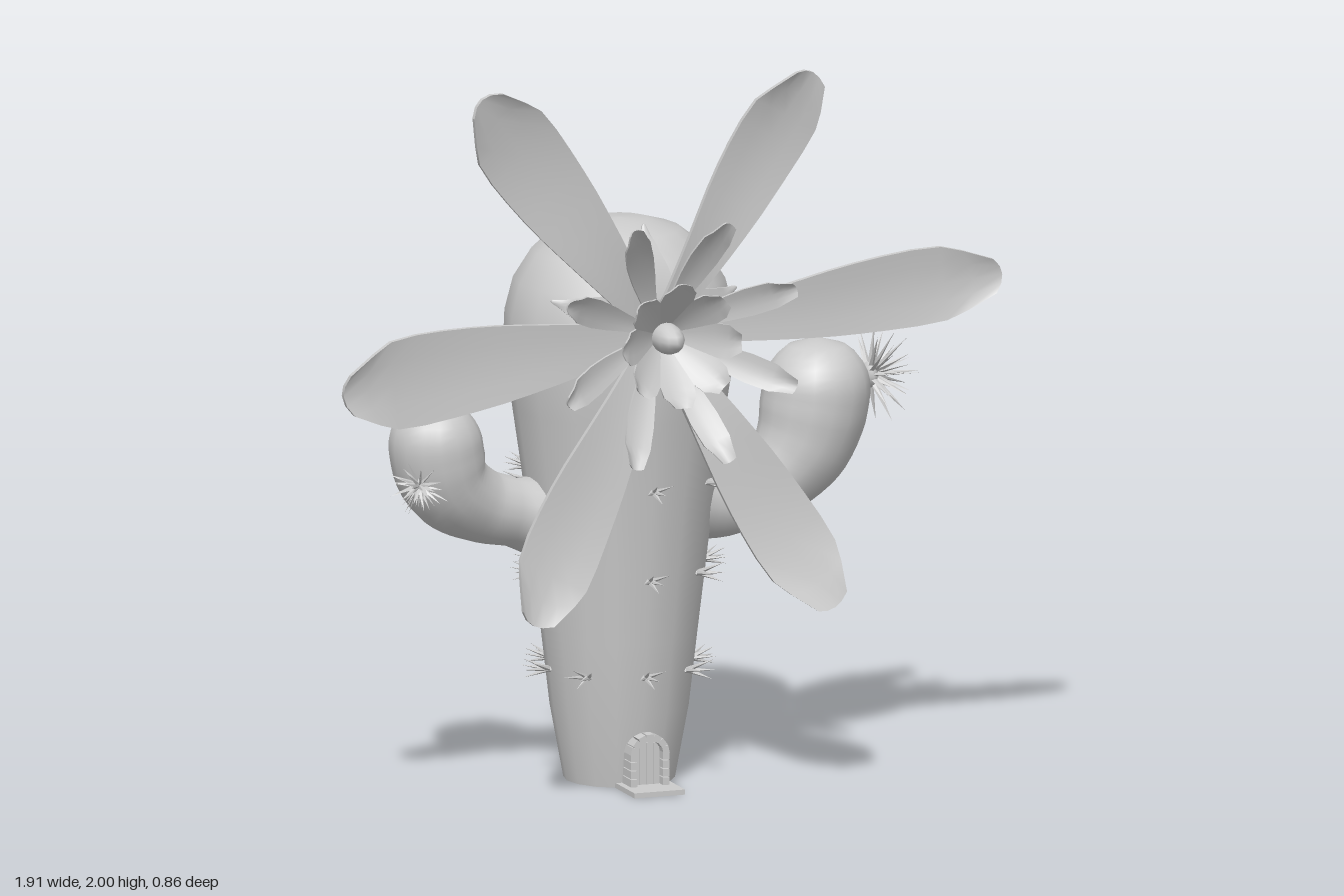
import * as THREE from 'three';
import { mergeVertices } from 'three/addons/utils/BufferGeometryUtils.js';

const material = new THREE.MeshStandardMaterial({ color: 0xcccccc, side: THREE.DoubleSide });
const flat = new THREE.MeshStandardMaterial({ color: 0xcccccc, flatShading: true });
const CX = -0.02, CZ = -0.075; // axis of the trunk

function add(parent, name, geometry, mat = material) {
  const mesh = new THREE.Mesh(geometry, mat);
  mesh.name = name;
  parent.add(mesh);
  return mesh;
}

// linear lookup in an evenly spaced list
function sample(list, t) {
  const f = t * (list.length - 1), i = Math.min(Math.floor(f), list.length - 2);
  return THREE.MathUtils.lerp(list[i], list[i + 1], f - i);
}

// swept limb whose radius varies and closes in a dome of the given fraction
function limb(points, radii, dome) {
  const curve = new THREE.CatmullRomCurve3(points.map(p => new THREE.Vector3(...p)));
  const n = 32, sides = 16, geo = new THREE.TubeGeometry(curve, n, 1, sides);
  const pos = geo.attributes.position, v = new THREE.Vector3();
  for (let i = 0; i <= n; i++) {
    const t = i / n, c = curve.getPointAt(t);
    const s = Math.max(0, (t - 1 + dome) / dome);
    const r = sample(radii, t) * Math.sqrt(Math.max(0, 1 - s * s));
    for (let j = 0; j <= sides; j++) {
      const k = i * (sides + 1) + j;
      v.fromBufferAttribute(pos, k).sub(c).multiplyScalar(r).add(c);
      pos.setXYZ(k, v.x, v.y, v.z);
    }
  }
  geo.deleteAttribute('uv');
  geo.deleteAttribute('normal');
  const merged = mergeVertices(geo);
  merged.computeVertexNormals();
  return merged;
}

// thin petal along +x, facing +z; rise(t) lifts it and cup curls its sides
function petal(length, halfWidths, thickness, rise, cup = 0) {
  const geo = new THREE.BoxGeometry(1, 2, thickness, 12, 4, 1);
  const pos = geo.attributes.position;
  for (let i = 0; i < pos.count; i++) {
    const t = pos.getX(i) + 0.5, y = pos.getY(i);
    const blunt = t > 0.9 ? 0.025 * length * y * y : 0;
    pos.setXYZ(i, t * length - blunt, y * sample(halfWidths, t), pos.getZ(i) + rise(t) + cup * y * y * t);
  }
  geo.computeVertexNormals();
  return geo;
}

function ring(parent, name, geo, count, start) {
  for (let i = 0; i < count; i++)
    add(parent, name, geo).rotation.z = start + i * Math.PI * 2 / count;
}

// big flower on the front of the trunk
function bigFlower() {
  const g = new THREE.Group();
  g.name = 'bigFlower';
  g.position.set(-0.03, 1.28, 0.24);
  const tips = [[0.37, 1.99, 0.36, 0.1], [-0.57, 1.98, 0.34, 0.115], [-0.96, 1.19, 0.32, 0.125],
    [0.955, 1.37, 0.245, 0.105], [-0.43, 0.53, 0.36, 0.11], [0.43, 0.52, 0.37, 0.105]];
  for (const [x, y, z, w] of tips) {
    const dx = x + 0.03, dy = y - 1.28;
    const widths = [0.25, 0.4, 0.56, 0.72, 0.86, 0.96, 1, 0.95, 0.45].map(k => k * w);
    const geo = petal(Math.hypot(dx, dy), widths, 0.016,
      t => (z - 0.24) * t ** 1.3 + 0.015 * Math.sin(t * Math.PI * 2), 0.012);
    add(g, 'outerPetal', geo).rotation.z = Math.atan2(dy, dx);
  }
  const small = [0.3, 0.4, 0.6, 0.85, 1, 0.95, 0.5];
  ring(g, 'middlePetal', petal(0.355, small.map(k => k * 0.04), 0.01, t => 0.02 + 0.17 * t ** 1.6, 0.01), 8, Math.PI / 8);
  ring(g, 'innerPetal', petal(0.17, small.map(k => k * 0.048), 0.01, t => 0.02 + 0.17 * t ** 0.9, 0.015), 8, 0);
  // sepals curl back around the trunk
  ring(g, 'sepal', petal(0.28, [0.05, 0.06, 0.065, 0.05, 0.025, 0.006], 0.006, t => -0.02 - 0.08 * t * t), 5, Math.PI / 2);
  const calyx = add(g, 'calyx', new THREE.CylinderGeometry(0.1, 0.06, 0.09, 7), flat);
  calyx.rotation.x = Math.PI / 2;
  calyx.position.z = -0.045;
  const pistil = add(g, 'pistil', new THREE.SphereGeometry(0.042, 12, 8));
  pistil.scale.z = 2;
  pistil.position.z = 0.075;
  return g;
}

// tuft of narrow petals opening along a direction
function tuft(name, position, direction, size) {
  const g = new THREE.Group();
  g.name = name;
  g.position.set(...position);
  g.quaternion.setFromUnitVectors(new THREE.Vector3(0, 1, 0), new THREE.Vector3(...direction).normalize());
  const blade = new THREE.ConeGeometry(0.011, 1, 4).translate(0, 0.5, 0).scale(1, 1, 0.5);
  [[5, 0.25, 1], [9, 0.65, 1], [12, 1.05, 1], [14, 1.45, 1.05]].forEach(([count, tilt, len], row) => {
    for (let i = 0; i < count; i++) {
      const b = add(g, 'tuftPetal', blade, flat);
      b.rotation.set(0, (i + row * 0.4) * Math.PI * 2 / count, tilt + 0.1 * Math.sin(i * 2.3), 'YXZ');
      b.scale.set(1, size * len * (1 + 0.15 * Math.sin(i * 3.7 + row)), 1);
    }
  });
  const heart = add(g, 'tuftHeart', new THREE.SphereGeometry(size * 0.3, 8, 6));
  heart.scale.y = 0.6;
  return g;
}

// small fan of spines, pointing along +z
function spineCluster() {
  const g = new THREE.Group();
  g.name = 'spineCluster';
  const cone = new THREE.ConeGeometry(0.009, 0.085, 5).translate(0, 0.035, 0).rotateX(Math.PI / 2);
  [[-0.55, 0.1], [-0.2, 0.4], [0.15, 0.05], [0.55, 0.35], [0, -0.25]].forEach(([yaw, pitch]) => {
    add(g, 'spine', cone, flat).rotation.set(-pitch, yaw, 0, 'YXZ');
  });
  return g;
}

// arched door with stone surround and step
function doorway() {
  const g = new THREE.Group();
  g.name = 'doorway';
  g.position.x = -0.01;
  const arch = new THREE.Shape();
  arch.moveTo(-0.04, 0).lineTo(0.04, 0).lineTo(0.04, 0.1).absarc(0, 0.1, 0.04, 0, Math.PI).lineTo(-0.04, 0);
  const door = add(g, 'doorPanel', new THREE.ExtrudeGeometry(arch, { depth: 0.07, bevelEnabled: false, curveSegments: 10 }), flat);
  door.position.z = 0.04;
  for (const x of [-0.02, 0, 0.02])
    add(g, 'doorBatten', new THREE.BoxGeometry(0.005, 0.12, 0.006), flat).position.set(x, 0.068, 0.112);
  const stone = (x, y, turn) => {
    const m = add(g, 'frameStone', new THREE.BoxGeometry(0.018, 0.021, 0.09), flat);
    m.position.set(x, y, 0.092);
    m.rotation.z = turn;
  };
  for (const s of [-1, 1])
    for (let i = 0; i < 4; i++) stone(s * 0.046, 0.024 + i * 0.0235, 0);
  for (let i = 0; i < 7; i++) {
    const a = (i + 0.5) * Math.PI / 7;
    stone(Math.cos(a) * 0.046, 0.1 + Math.sin(a) * 0.046, a);
  }
  add(g, 'doorStep', new THREE.BoxGeometry(0.145, 0.014, 0.17), flat).position.set(0, 0.007, 0.125);
  return g;
}

export function createModel() {
  const model = new THREE.Group();
  model.name = 'cactusHouse';

  // trunk and its flat base
  const profile = [[0.15, 0], [0.187, 0.2], [0.21, 0.4], [0.234, 0.6], [0.262, 0.84], [0.288, 1.02], [0.312, 1.18],
    [0.308, 1.28], [0.285, 1.37], [0.235, 1.45], [0.165, 1.505], [0.08, 1.53], [0, 1.535]].map(p => new THREE.Vector2(...p));
  add(model, 'trunk', new THREE.LatheGeometry(profile, 16)).position.set(CX, 0, CZ);
  const base = add(model, 'trunkBase', new THREE.CircleGeometry(0.15, 16));
  base.rotation.x = Math.PI / 2;
  base.position.set(CX, 0.001, CZ);

  // arms
  add(model, 'leftArm', limb([[0.12, 0.76, -0.07], [0.28, 0.735, -0.07], [0.4, 0.77, -0.07], [0.5, 0.87, -0.07],
    [0.54, 1.0, -0.07], [0.545, 1.165, -0.07]], [0.13, 0.105, 0.09, 0.105, 0.13, 0.145, 0.147, 0.147], 0.2));
  add(model, 'rightArm', limb([[-0.15, 0.7, -0.07], [-0.3, 0.745, -0.065], [-0.43, 0.78, -0.05], [-0.53, 0.85, -0.03],
    [-0.565, 0.95, -0.02], [-0.57, 1.09, -0.015]], [0.14, 0.11, 0.095, 0.1, 0.115, 0.127, 0.128, 0.128], 0.2));
  model.add(tuft('leftArmFlower', [0.695, 1.05, -0.07], [1, 0.15, 0], 0.125));
  model.add(tuft('rightArmFlower', [-0.64, 0.87, 0.055], [-0.55, -0.4, 0.6], 0.075));

  // three rows of spines
  for (const [y, r] of [[0.31, 0.2], [0.58, 0.232], [0.83, 0.26]])
    for (let i = 0; i < 8; i++) {
      const a = i * Math.PI / 4, c = spineCluster();
      c.position.set(CX + Math.sin(a) * r, y, CZ + Math.cos(a) * r);
      c.rotation.y = a;
      model.add(c);
    }

  model.add(bigFlower(), doorway());
  return model;
}
